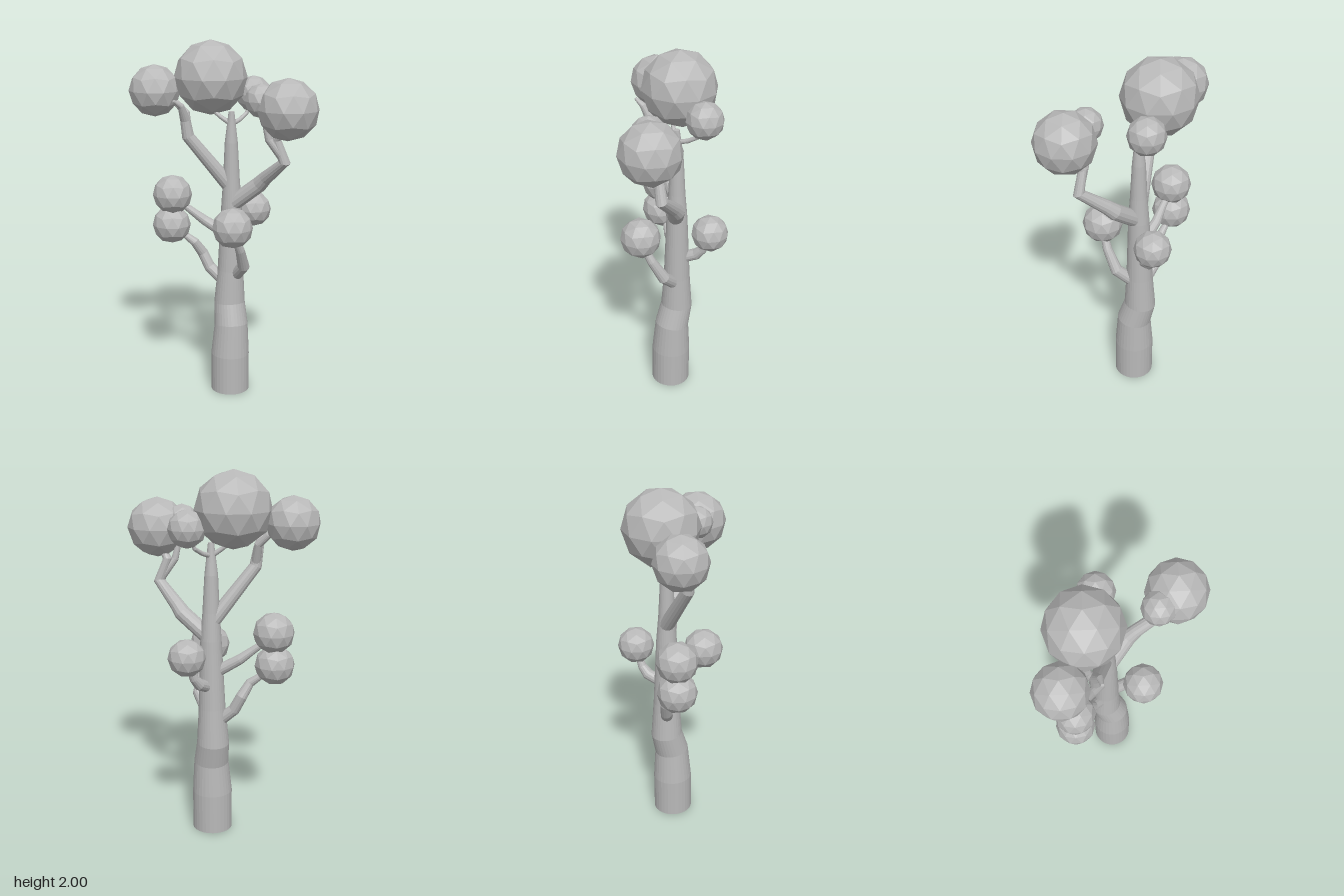
import * as THREE from 'three';

const grey = new THREE.MeshStandardMaterial({ color: 0xb8b8b8, flatShading: true });
grey.name = 'plain grey';

// Tapered limb through rings [x, y, z, radius], closed at both ends
function limb(name, rings, sides) {
  const pts = rings.map(([x, y, z]) => new THREE.Vector3(x, y, z));
  const n = pts.length, pos = [], index = [];
  const side = new THREE.Vector3(1, 0, 0), up = new THREE.Vector3();
  pts.forEach((p, i) => {
    const t = new THREE.Vector3();
    if (i > 0) t.add(p.clone().sub(pts[i - 1]).normalize());
    if (i < n - 1) t.add(pts[i + 1].clone().sub(p).normalize());
    t.normalize();
    if (i === 0 && Math.abs(t.x) > 0.9) side.set(0, 0, 1);
    side.addScaledVector(t, -side.dot(t)).normalize();
    up.crossVectors(t, side);
    for (let k = 0; k < sides; k++) {
      const a = (k / sides) * Math.PI * 2, r = rings[i][3];
      const v = p.clone().addScaledVector(side, Math.cos(a) * r).addScaledVector(up, Math.sin(a) * r);
      pos.push(v.x, v.y, v.z);
    }
  });
  for (let i = 0; i < n - 1; i++) {
    for (let k = 0; k < sides; k++) {
      const a = i * sides + k, b = i * sides + ((k + 1) % sides);
      index.push(a, b, b + sides, a, b + sides, a + sides);
    }
  }
  const top = (n - 1) * sides;
  for (let k = 1; k < sides - 1; k++) {
    index.push(0, k + 1, k, top, top + k, top + k + 1);
  }
  const g = new THREE.BufferGeometry();
  g.setAttribute('position', new THREE.Float32BufferAttribute(pos, 3));
  g.setIndex(index);
  g.computeVertexNormals();
  const mesh = new THREE.Mesh(g, grey);
  mesh.name = name;
  return mesh;
}

// Faceted leaf ball with one corner straight up
function leafBall(name, x, y, z, r) {
  const g = new THREE.IcosahedronGeometry(r, 1);
  g.rotateZ(-Math.atan(2 / (1 + Math.sqrt(5))));
  const mesh = new THREE.Mesh(g, grey);
  mesh.name = name;
  mesh.position.set(x, y, z);
  return mesh;
}

export function createModel() {
  const tree = new THREE.Group();
  tree.name = 'tree';

  // Trunk
  tree.add(limb('trunk', [
    [0.08, 0, -0.066, 0.109], [0.08, 0.22, -0.066, 0.109], [0.086, 0.4, -0.066, 0.095],
    [0.09, 0.52, -0.098, 0.088], [0.093, 0.72, -0.093, 0.073], [0.095, 1.1, -0.085, 0.057],
    [0.093, 1.25, -0.083, 0.046], [0.091, 1.45, -0.082, 0.036], [0.09, 1.62, -0.078, 0.016],
  ], 32));

  // Branches and twigs
  const branches = {
    frontLeftBranch: [[0.09, 1.1, -0.08, 0.045], [0.205, 1.23, 0.04, 0.044], [0.22, 1.27, 0.08, 0.038],
      [0.265, 1.38, 0.215, 0.032], [0.225, 1.5, 0.195, 0.025], [0.24, 1.58, 0.25, 0.015]],
    frontLeftTwig: [[0.25, 1.41, 0.21, 0.025], [0.185, 1.5, 0.185, 0.02], [0.15, 1.64, 0.18, 0.012]],
    rightBranch: [[0.09, 1.2, -0.09, 0.042], [-0.14, 1.49, -0.14, 0.034],
      [-0.155, 1.58, -0.14, 0.028], [-0.19, 1.66, -0.115, 0.018], [-0.235, 1.69, -0.105, 0.008]],
    rightTwig: [[-0.14, 1.49, -0.14, 0.026], [-0.135, 1.61, -0.18, 0.022],
      [-0.17, 1.66, -0.22, 0.018], [-0.22, 1.7, -0.26, 0.012]],
    topLeftTwig: [[0.09, 1.55, -0.08, 0.014], [0.15, 1.57, -0.1, 0.012],
      [0.2, 1.6, -0.12, 0.011], [0.23, 1.66, -0.12, 0.009]],
    topRightTwig: [[0.09, 1.55, -0.08, 0.014], [0.04, 1.59, -0.11, 0.012], [-0.01, 1.64, -0.15, 0.009]],
    lowFrontBranch: [[0.105, 0.68, -0.07, 0.036], [0.115, 0.77, 0.035, 0.034],
      [0.07, 0.88, 0.085, 0.026], [0.03, 0.96, 0.105, 0.02]],
    lowLeftBranch: [[0.09, 0.83, -0.09, 0.032], [0.19, 0.88, -0.145, 0.032],
      [0.225, 0.92, -0.155, 0.025], [0.25, 0.98, -0.16, 0.018]],
    lowRightBranch: [[0.07, 0.64, -0.11, 0.036], [0, 0.72, -0.175, 0.032], [-0.03, 0.8, -0.205, 0.03],
      [-0.08, 0.87, -0.205, 0.025], [-0.15, 0.93, -0.25, 0.015]],
    midRightBranch: [[0.08, 0.92, -0.1, 0.034], [-0.03, 1.0, -0.18, 0.028],
      [-0.09, 1.05, -0.21, 0.022], [-0.16, 1.11, -0.25, 0.016]],
  };
  for (const [name, rings] of Object.entries(branches)) tree.add(limb(name, rings, 14));

  // Leaf balls: x, y, z, radius
  const balls = {
    crownBall: [0.012, 1.797, -0.18, 0.203],
    upperRightBall: [-0.27, 1.727, -0.3, 0.142],
    upperLeftBall: [0.248, 1.665, 0.277, 0.163],
    smallFrontBall: [0.143, 1.705, 0.18, 0.09],
    smallBackBall: [0.243, 1.705, -0.12, 0.1],
    lowLeftBall: [0.268, 1.04, -0.16, 0.101],
    lowFrontBall: [0.012, 1.02, 0.112, 0.111],
    lowRightUpperBall: [-0.19, 1.147, -0.26, 0.111],
    lowRightLowerBall: [-0.195, 0.972, -0.265, 0.108],
  };
  for (const [name, b] of Object.entries(balls)) tree.add(leafBall(name, ...b));

  return tree;
}
